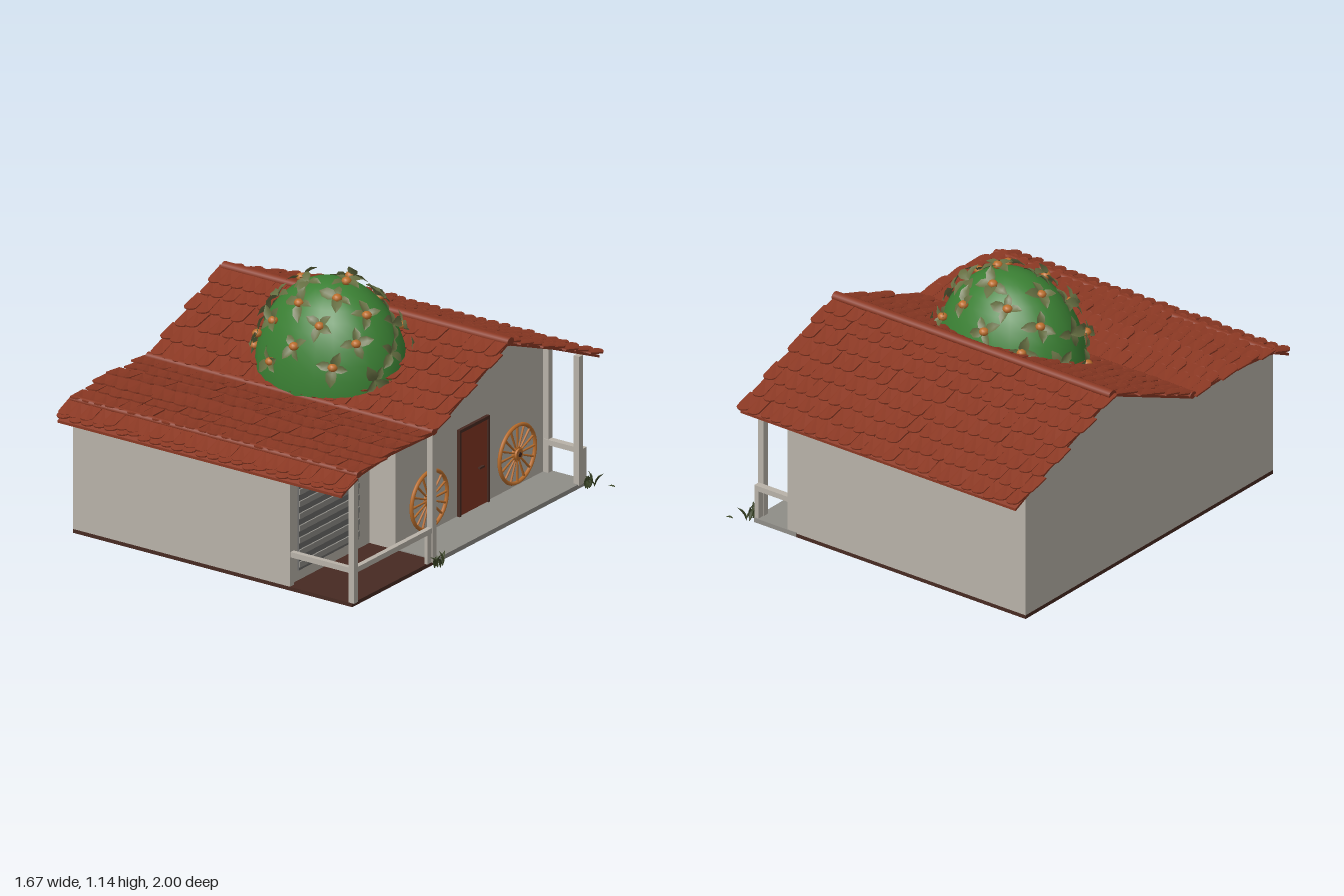
import * as THREE from 'three';
import { mergeGeometries } from 'three/addons/utils/BufferGeometryUtils.js';

const mat = (name, color, double) => {
  const m = new THREE.MeshStandardMaterial({ color });
  m.name = name;
  if (double) m.side = THREE.DoubleSide;
  return m;
};

export function createModel() {
  const M = {
    plaster: mat('plaster', 0xb8b2a8),
    tile: mat('roofTile', 0x8a3823, true),
    base: mat('darkWood', 0x472a22),
    door: mat('doorRed', 0x803522),
    slab: mat('porchStone', 0x8f8d87),
    slat: mat('shutterGrey', 0x6a6a69),
    bush: mat('bushGreen', 0x3a7f33),
    leaf: mat('leafOlive', 0x666f42, true),
    orange: mat('orangeWood', 0xbb6e2c),
    grass: mat('grassGreen', 0x3a4526, true),
  };
  const root = new THREE.Group();
  root.name = 'tiledHouse';
  let seed = 7;
  const rnd = () => ((seed = (seed * 16807) % 2147483647) / 2147483647);
  const vary = (a) => (rnd() - 0.5) * 2 * a;

  const add = (name, geo, m, parent = root) => {
    const mesh = new THREE.Mesh(geo, m);
    mesh.name = name;
    parent.add(mesh);
    return mesh;
  };
  // Box given by its minimum and maximum corners
  const box = (x0, x1, y0, y1, z0, z1) =>
    new THREE.BoxGeometry(x1 - x0, y1 - y0, z1 - z0).translate((x0 + x1) / 2, (y0 + y1) / 2, (z0 + z1) / 2);
  // Outline of [z, y] points extruded along x
  const extrudeX = (pts, x0, x1) => {
    const s = new THREE.Shape(pts.map((p) => new THREE.Vector2(...p)));
    return new THREE.ExtrudeGeometry(s, { depth: x1 - x0, bevelEnabled: false }).rotateY(-Math.PI / 2).translate(x1, 0, 0);
  };
  const place = (geo, pos, quat, scale = new THREE.Vector3(1, 1, 1)) =>
    geo.clone().applyMatrix4(new THREE.Matrix4().compose(pos, quat, scale));

  // Base and porch floor
  add('base', box(-0.8, 0.7, 0.004, 0.022, -0.88, 0.88), M.base);
  add('porchFloor', box(0.47, 0.705, 0.006, 0.027, -0.883, 0.26), M.slab);
  add('undersideFrame', mergeGeometries([
    box(-0.28, 0.27, 0, 0.006, -0.2, -0.18), box(-0.28, 0.27, 0, 0.006, 0.18, 0.2),
    box(-0.28, -0.26, 0, 0.006, -0.18, 0.18), box(0.25, 0.27, 0, 0.006, -0.18, 0.18),
  ]), M.door);

  // Walls
  add('gableHouse', extrudeX([[0.26, 0.022], [0.26, 0.635], [-0.28, 0.865], [-0.88, 0.615], [-0.88, 0.022]], -0.8, 0.49), M.plaster);
  add('frontWing', extrudeX([[0.88, 0.022], [0.88, 0.605], [0.6, 0.635], [0.26, 0.625], [0.26, 0.022]], -0.8, 0.35), M.plaster);

  // Porch posts and rails
  const timber = [
    box(0.68, 0.71, 0.022, 0.61, 0.85, 0.88), box(0.35, 0.366, 0.022, 0.61, 0.85, 0.88),
    box(0.68, 0.71, 0.022, 0.63, 0.26, 0.29), box(0.68, 0.71, 0.022, 0.63, -0.845, -0.815),
    box(0.49, 0.52, 0.022, 0.61, -0.88, -0.85), box(0.69, 0.705, 0.022, 0.165, 0.29, 0.32),
    box(0.36, 0.69, 0.16, 0.185, 0.853, 0.877), box(0.683, 0.707, 0.16, 0.185, 0.29, 0.85),
    box(0.5, 0.705, 0.16, 0.185, -0.877, -0.845), box(0.683, 0.707, 0.022, 0.185, -0.877, -0.845),
  ];
  add('porchTimbers', mergeGeometries(timber), M.plaster);

  // Slatted shutter beside the porch
  add('shutterPanel', box(0.348, 0.356, 0.07, 0.53, 0.35, 0.8), M.slat);
  const slats = [];
  for (let i = 0; i < 8; i++) {
    const y = 0.085 + i * 0.057;
    slats.push(extrudeX([[0.8, y], [0.8, y + 0.026], [0.35, y + 0.026], [0.35, y]].reverse(), 0.354, 0.363));
  }
  add('shutterSlats', mergeGeometries(slats), M.slab);

  // Door
  add('door', box(0.488, 0.498, 0.025, 0.42, -0.418, -0.215), M.door);
  add('doorFrame', mergeGeometries([
    box(0.488, 0.506, 0.025, 0.435, -0.215, -0.203), box(0.488, 0.506, 0.025, 0.435, -0.43, -0.418),
    box(0.488, 0.506, 0.42, 0.435, -0.418, -0.215), box(0.496, 0.51, 0.205, 0.213, -0.385, -0.35),
  ]), M.base);

  // Cart wheels leaning on the wall
  const wheelParts = [
    new THREE.TorusGeometry(0.134, 0.009, 6, 40),
    new THREE.CylinderGeometry(0.026, 0.026, 0.026, 16).rotateX(Math.PI / 2),
    new THREE.TorusGeometry(0.03, 0.005, 6, 16),
  ];
  for (let i = 0; i < 16; i++) {
    wheelParts.push(new THREE.CylinderGeometry(0.006, 0.004, 0.11, 6).translate(0, 0.077, 0).rotateZ((i * Math.PI) / 8));
  }
  const wheel = mergeGeometries(wheelParts).rotateY(Math.PI / 2);
  for (const z of [0.023, -0.64]) {
    add('cartWheel', wheel, M.orange).position.set(0.503, 0.182, z);
    add('wheelHub', new THREE.CylinderGeometry(0.011, 0.011, 0.03, 12).rotateZ(Math.PI / 2), M.base).position.set(0.505, 0.182, z);
  }

  // Roof deck under the tiles
  const roofLine = [[0.975, 0.563], [0.86, 0.617], [0.6, 0.642], [0.28, 0.634], [-0.28, 0.872], [-0.62, 0.74], [-0.97, 0.588]];
  const deck = [...roofLine, ...roofLine.map(([z, y]) => [z, y - 0.012]).reverse()].reverse();
  add('roofDeck', extrudeX(deck, -0.815, 0.71), M.tile);

  // One curved, round-ended tile: hangs along +z from its upper edge
  const tileShape = new THREE.Shape();
  tileShape.moveTo(-0.032, 0);
  tileShape.lineTo(0.032, 0);
  tileShape.lineTo(0.032, 0.095);
  tileShape.quadraticCurveTo(0.026, 0.118, 0, 0.122);
  tileShape.quadraticCurveTo(-0.026, 0.118, -0.032, 0.095);
  const tileGeo = new THREE.ExtrudeGeometry(tileShape, { depth: 0.007, bevelEnabled: false, curveSegments: 3 })
    .rotateX(Math.PI / 2).translate(0, 0.007, 0);
  const tp = tileGeo.attributes.position;
  for (let i = 0; i < tp.count; i++) tp.setY(i, tp.getY(i) + tp.getZ(i) * 0.1 - 7 * tp.getX(i) ** 2);
  tileGeo.computeVertexNormals();

  // Overlapping courses of tiles on each slope, from upper [z, y] to lower [z, y]
  const slopes = [
    ['backSlope', [-0.28, 0.874], [-0.985, 0.588], 8],
    ['courtSlope', [-0.28, 0.874], [0.29, 0.636], 6],
    ['wingUpperSlope', [0.29, 0.636], [0.6, 0.644], 3],
    ['wingLowerSlope', [0.58, 0.644], [0.87, 0.618], 3],
    ['frontEave', [0.85, 0.622], [0.985, 0.562], 2],
  ];
  for (const [name, a, b, rows] of slopes) {
    const dz = b[0] - a[0], dy = b[1] - a[1], len = Math.hypot(dz, dy);
    const pitch = Math.atan2(-dy, Math.abs(dz));
    const facing = dz < 0 ? Math.PI : 0;
    const step = len / rows, tiles = [];
    for (let r = 0; r < rows; r++) {
      const cols = 25;
      for (let c = 0; c < cols; c++) {
        const x = -0.797 + (c / (cols - 1)) * 1.487 + (r % 2 ? 0.008 : -0.008) + vary(0.004);
        const t = Math.max(0, (r + 1) * step - 0.122 + vary(0.007)) / len;
        const q = new THREE.Quaternion().setFromEuler(new THREE.Euler(pitch, facing, 0, 'YXZ'))
          .multiply(new THREE.Quaternion().setFromEuler(new THREE.Euler(vary(0.03), vary(0.05), vary(0.05))));
        tiles.push(place(tileGeo, new THREE.Vector3(x, a[1] + dy * t + 0.004, a[0] + dz * t), q));
      }
    }
    add(name + 'Tiles', mergeGeometries(tiles), M.tile);
  }
  // Ridge rolls
  for (const [z, y, r] of [[-0.29, 0.876, 0.026], [0.283, 0.64, 0.022], [0.85, 0.624, 0.02]]) {
    add('ridgeRoll', new THREE.CylinderGeometry(r, r, 1.54, 10).rotateZ(Math.PI / 2).scale(1, 0.75, 1).translate(-0.053, y, z), M.tile);
  }

  // Large bush rising from the roof valley
  const centre = new THREE.Vector3(-0.02, 0.67, 0.02), radii = new THREE.Vector3(0.365, 0.435, 0.285);
  const dome = new THREE.SphereGeometry(1, 24, 12, 0, Math.PI * 2, 0, Math.PI * 0.6);
  add('bushDome', dome.scale(radii.x, radii.y, radii.z).translate(centre.x, centre.y, centre.z), M.bush);

  // Leaf folded along its midrib, growing along +z
  const leafGeo = new THREE.PlaneGeometry(1, 1, 2, 3).rotateX(Math.PI / 2).translate(0, 0, 0.5);
  const lp = leafGeo.attributes.position;
  const widths = [0.12, 0.55, 0.5, 0.04];
  for (let i = 0; i < lp.count; i++) {
    const z = lp.getZ(i), w = widths[Math.round(z * 3)], x = lp.getX(i) * w;
    lp.setXYZ(i, x, Math.abs(x) * 0.4 + 0.35 * z * (1 - z), z);
  }
  leafGeo.computeVertexNormals();

  const leaves = [], fruits = [], up = new THREE.Vector3(0, 1, 0);
  const fruitGeo = new THREE.SphereGeometry(0.023, 10, 7).scale(1, 0.8, 1);
  const clusters = 32;
  for (let i = 0; i < clusters; i++) {
    const h = 0.98 - (i / clusters) * 0.9, ang = i * 2.39996, s = Math.sqrt(1 - h * h);
    const d = new THREE.Vector3(Math.cos(ang) * s, h, Math.sin(ang) * s);
    const pos = d.clone().multiply(radii).add(centre);
    const n = d.clone().divide(radii).normalize();
    const q = new THREE.Quaternion().setFromUnitVectors(up, n);
    if (i % 4 !== 1) fruits.push(place(fruitGeo, pos.clone().addScaledVector(n, 0.014), new THREE.Quaternion()));
    const turn = rnd() * 6.28;
    for (let k = 0; k < 4; k++) {
      const lq = q.clone().multiply(new THREE.Quaternion().setFromEuler(
        new THREE.Euler(-0.1 + vary(0.3), turn + k * 1.57 + vary(0.4), vary(0.3), 'YXZ')));
      const size = 0.065 + rnd() * 0.03;
      leaves.push(place(leafGeo, pos.clone().addScaledVector(n, 0.006), lq, new THREE.Vector3(size, size, size)));
    }
  }
  add('bushLeaves', mergeGeometries(leaves), M.leaf);
  add('bushFruit', mergeGeometries(fruits), M.orange);

  // Grass tufts beside the porch
  const blades = [];
  for (const z of [0.275, -0.865]) {
    for (let k = 0; k < 9; k++) {
      const q = new THREE.Quaternion().setFromEuler(new THREE.Euler(-1.2 + vary(0.3), k * 0.7 + vary(0.3), 0, 'YXZ'));
      const len = 0.045 + rnd() * 0.035;
      blades.push(place(leafGeo, new THREE.Vector3(0.733 + vary(0.012), 0.004, z + vary(0.025)), q, new THREE.Vector3(0.03, len, len)));
    }
  }
  blades.push(place(leafGeo, new THREE.Vector3(0.795, 0.008, -0.915), new THREE.Quaternion().setFromAxisAngle(up, 1.8), new THREE.Vector3(0.03, 0.03, 0.035)));
  add('grassTufts', mergeGeometries(blades), M.grass);

  return root;
}
